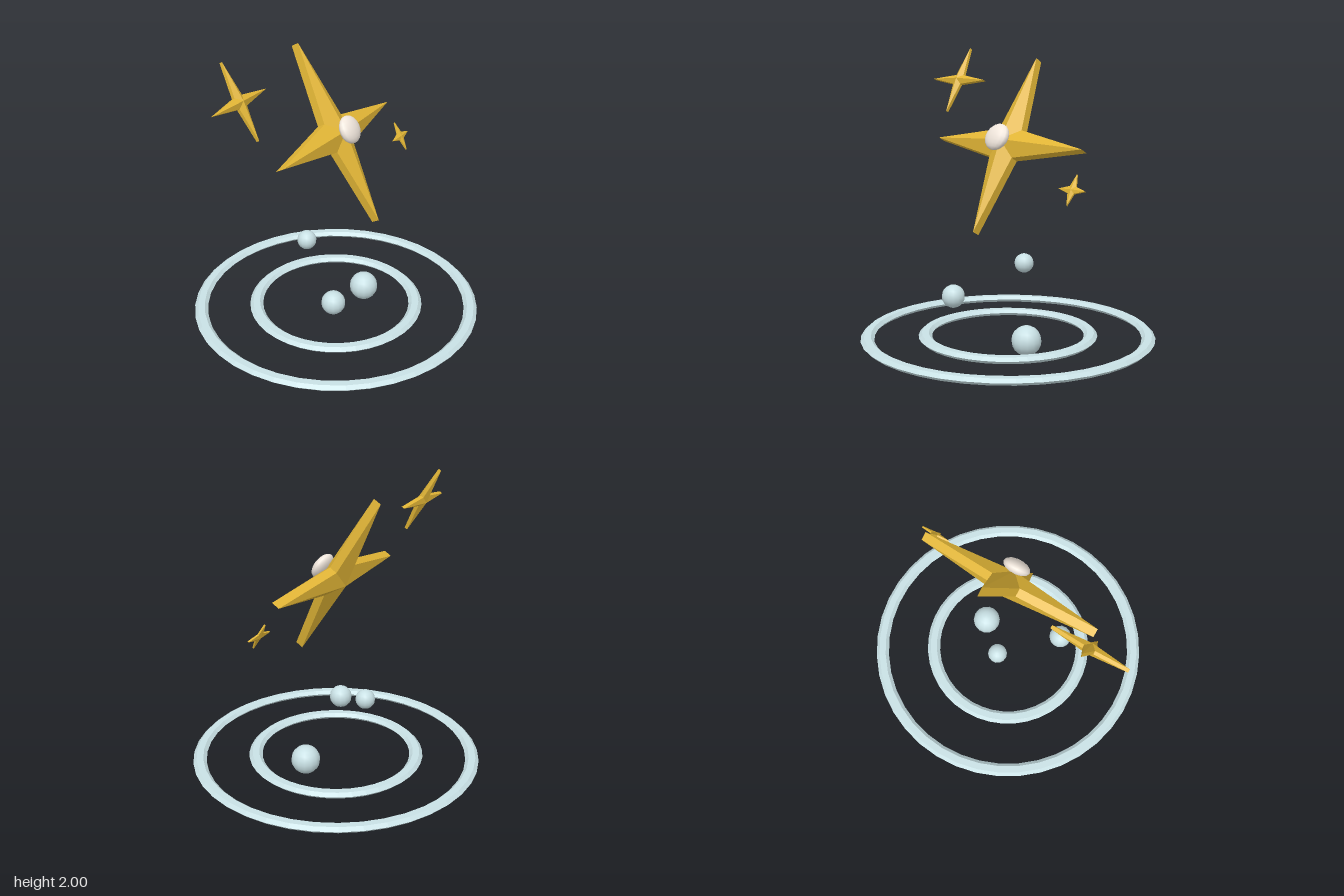
import * as THREE from 'three';

const gold = new THREE.MeshStandardMaterial({ color: 0xe0b435, flatShading: true });
const paleBlue = new THREE.MeshStandardMaterial({ color: 0xc8e0e4 });
const paleBlueFlat = new THREE.MeshStandardMaterial({ color: 0xc8e0e4, flatShading: true });
const pearl = new THREE.MeshStandardMaterial({ color: 0xf0e6dc });

// Four-pointed star: straight rim of the given depth, faces rising to a central apex
function starGeometry(radius, inner, depth, apex) {
  const rim = [];
  for (let i = 0; i < 8; i++) {
    const r = i % 2 ? inner : radius;
    const t = (i * Math.PI) / 4;
    rim.push([r * Math.cos(t), r * Math.sin(t)]);
  }
  const h = depth / 2;
  const pos = [];
  rim.forEach(([ax, ay], i) => {
    const [bx, by] = rim[(i + 1) % 8];
    pos.push(0, 0, apex, ax, ay, h, bx, by, h); // front facet
    pos.push(0, 0, -apex, bx, by, -h, ax, ay, -h); // back facet
    pos.push(ax, ay, -h, bx, by, -h, bx, by, h); // rim
    pos.push(ax, ay, -h, bx, by, h, ax, ay, h);
  });
  const geo = new THREE.BufferGeometry();
  geo.setAttribute('position', new THREE.Float32BufferAttribute(pos, 3));
  geo.computeVertexNormals();
  return geo;
}

export function createModel() {
  const model = new THREE.Group();
  const add = (parent, name, geo, mat, x, y, z) => {
    const mesh = new THREE.Mesh(geo, mat);
    mesh.name = name;
    mesh.position.set(x, y, z);
    parent.add(mesh);
    return mesh;
  };

  // Stars, all turned 45 degrees and leaning back
  const stars = [
    ['largeStar', 0.633, 0.14, 0.057, 0.09, 0, 1.367, 0],
    ['mediumStar', 0.254, 0.05, 0.022, 0.036, -0.65, 1.775, 0.32],
    ['smallStar', 0.104, 0.034, 0.011, 0.016, 0.545, 1.14, -0.365],
  ];
  for (const [name, r, inner, depth, apex, x, y, z] of stars) {
    const star = new THREE.Group();
    star.name = name;
    star.position.set(x, y, z);
    star.rotation.set(-0.511, Math.PI / 4, 0, 'YXZ');
    add(star, name + 'Body', starGeometry(r, inner, depth, apex), gold, 0, 0, 0);
    // Flattened pearl in the middle of the large star
    if (name === 'largeStar') {
      add(star, 'centrePearl', new THREE.SphereGeometry(0.093, 14, 10), pearl, 0, 0, 0.122).scale.z = 0.5;
    }
    model.add(star);
  }

  // Floating bubbles
  const bubbles = [
    [0.1, 0.23, 0.1, -0.11],
    [0.08, -0.1, 0.32, 0.37],
    [0.067, -0.18, 0.53, -0.12],
  ];
  bubbles.forEach(([r, x, y, z], i) =>
    add(model, 'bubble' + (i + 1), new THREE.SphereGeometry(r, 14, 10), paleBlue, x, y, z));

  // Flat hexagon-section ripple rings
  for (const [name, r] of [['outerRing', 0.947], ['innerRing', 0.56]]) {
    const ring = add(model, name, new THREE.TorusGeometry(r, 0.046, 6, 40), paleBlueFlat, 0, 0.08, 0);
    ring.rotation.x = -Math.PI / 2;
    ring.scale.z = 0.55;
  }
  return model;
}
